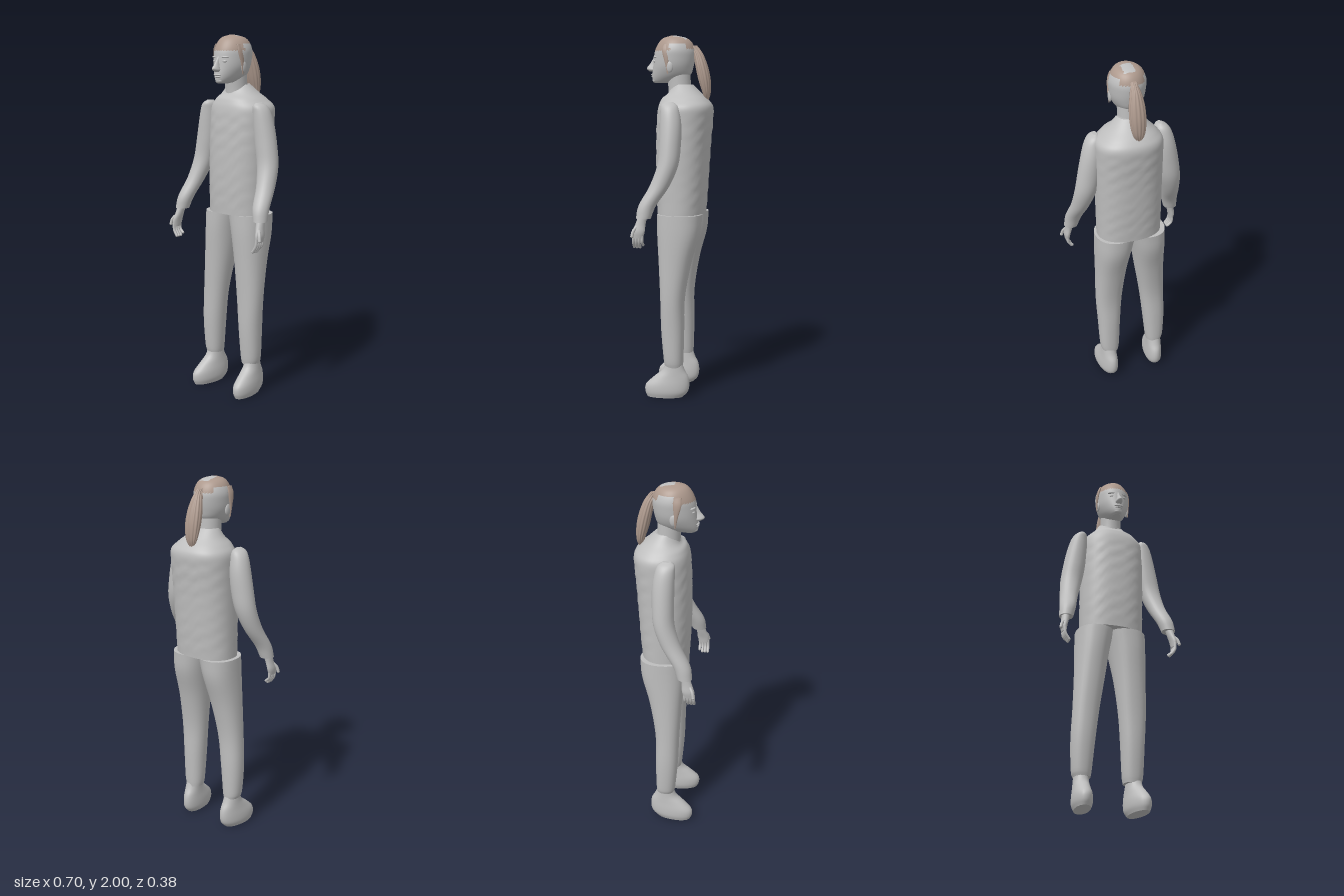
import * as THREE from 'three';

const grey = new THREE.MeshStandardMaterial({ color: 0xbebebe });
grey.name = 'grey';
const hair = new THREE.MeshStandardMaterial({ color: 0xad998d });
hair.name = 'hairBrown';

// Skin a stack of horizontal rings [y, xMin, xMax, zMin, zMax], listed upwards.
// options: power squares the outline, deform(v, angle) moves vertices,
// isHair(centre) sends a face to the second material.
function loft(name, rings, { sides = 28, steps = 4, power = 1, deform, isHair, material = grey } = {}) {
  const cx = new THREE.CatmullRomCurve3(rings.map((r) => new THREE.Vector3(r[0], r[1], r[2])), false, 'catmullrom');
  const cz = new THREE.CatmullRomCurve3(rings.map((r) => new THREE.Vector3(r[0], r[3], r[4])), false, 'catmullrom');
  const rows = (rings.length - 1) * steps;
  const pts = [], body = [], tinted = [];
  const bend = (c) => Math.sign(c) * Math.abs(c) ** power;
  for (let i = 0; i <= rows; i++) {
    const a = cx.getPoint(i / rows), b = cz.getPoint(i / rows);
    for (let j = 0; j < sides; j++) {
      const t = (j / sides) * Math.PI * 2;
      const v = new THREE.Vector3(
        (a.y + a.z) / 2 + ((a.z - a.y) / 2) * bend(Math.cos(t)), a.x,
        (b.y + b.z) / 2 + ((b.z - b.y) / 2) * bend(Math.sin(t)));
      if (deform) deform(v, t);
      pts.push(v);
    }
  }
  const face = (a, b, c) => {
    const mid = pts[a].clone().add(pts[b]).add(pts[c]).divideScalar(3);
    (isHair && isHair(mid) ? tinted : body).push(a, b, c);
  };
  for (let i = 0; i < rows; i++) {
    for (let j = 0; j < sides; j++) {
      const k = (j + 1) % sides, a = i * sides + j, b = i * sides + k;
      face(a, a + sides, b);
      face(b, a + sides, b + sides);
    }
  }
  // Flat end caps with their own vertices
  for (const [row, up] of [[0, false], [rows, true]]) {
    const start = pts.length, mid = new THREE.Vector3();
    for (let j = 0; j < sides; j++) {
      const p = pts[row * sides + j].clone();
      mid.addScaledVector(p, 1 / sides);
      pts.push(p);
    }
    pts.push(mid);
    for (let j = 0; j < sides; j++) {
      const a = start + j, b = start + ((j + 1) % sides);
      if (up) face(a, start + sides, b); else face(a, b, start + sides);
    }
  }
  const g = new THREE.BufferGeometry().setFromPoints(pts);
  g.setIndex([...body, ...tinted]);
  g.addGroup(0, body.length, 0);
  g.addGroup(body.length, tinted.length, 1);
  g.computeVertexNormals();
  const mesh = new THREE.Mesh(g, isHair ? [grey, hair] : material);
  mesh.name = name;
  return mesh;
}

// Rings given as [y, centreX, centreZ, radiusX, radiusZ], placed on one side
const onSide = (s, rings) => rings.map(([y, x, z, rx, rz]) => [y, s * x - rx, s * x + rx, z - rz, z + rz]);

function blob(name, x, y, z, sx, sy, sz) {
  const m = new THREE.Mesh(new THREE.SphereGeometry(1, 16, 12), grey);
  m.name = name;
  m.position.set(x, y, z);
  m.scale.set(sx, sy, sz);
  return m;
}

function finger(name, points, radius) {
  const curve = new THREE.CatmullRomCurve3(points.map((p) => new THREE.Vector3(...p)));
  const g = new THREE.Group();
  g.name = name;
  g.add(new THREE.Mesh(new THREE.TubeGeometry(curve, 8, radius, 8), grey));
  const end = points[points.length - 1];
  g.add(blob(name + 'Tip', ...end, radius, radius, radius));
  return g;
}

function makeHead() {
  const head = new THREE.Group();
  head.name = 'head';
  const isHair = ({ x, y, z }) => {
    const onPatch = Math.abs(x - 0.012) < 0.03 && z > -0.045 && z < 0.03;
    const line = z > 0.035 ? 1.915 : z > -0.05 ? 1.955 : 1.925;
    return y > line && !onPatch;
  };
  head.add(loft('skull', [
    [1.742, -0.02, 0.03, 0.07, 0.135], [1.755, -0.04, 0.05, -0.01, 0.15], [1.785, -0.065, 0.075, -0.06, 0.152],
    [1.83, -0.085, 0.095, -0.077, 0.147], [1.88, -0.092, 0.102, -0.086, 0.142], [1.92, -0.092, 0.102, -0.086, 0.135],
    [1.96, -0.077, 0.087, -0.07, 0.115], [1.985, -0.052, 0.062, -0.04, 0.09], [1.998, -0.01, 0.02, 0.015, 0.05],
  ], {
    sides: 40, steps: 5, isHair,
    // Narrow the face towards the front
    deform: (v) => { v.x = 0.005 + (v.x - 0.005) * (1 - Math.max(0, v.z - 0.03) * 0.9); },
  }));
  head.add(loft('neck', [
    [1.62, -0.065, 0.075, -0.075, 0.06], [1.7, -0.055, 0.065, -0.065, 0.06], [1.8, -0.055, 0.065, -0.06, 0.07],
  ]));
  head.add(loft('nose', [
    [1.805, -0.008, 0.02, 0.12, 0.165], [1.815, -0.014, 0.026, 0.12, 0.18], [1.826, -0.011, 0.023, 0.12, 0.184],
    [1.85, -0.005, 0.017, 0.12, 0.164], [1.885, -0.004, 0.016, 0.11, 0.143],
  ], { sides: 14 }));
  head.add(blob('upperLip', 0.006, 1.789, 0.147, 0.026, 0.006, 0.012));
  head.add(blob('lowerLip', 0.006, 1.778, 0.146, 0.022, 0.006, 0.011));
  head.add(blob('chin', 0.006, 1.757, 0.133, 0.024, 0.014, 0.018));
  for (const s of [-1, 1]) {
    head.add(blob('eye', 0.006 + s * 0.034, 1.86, 0.126, 0.015, 0.007, 0.013));
    const brow = blob('brow', 0.006 + s * 0.036, 1.882, 0.125, 0.024, 0.006, 0.014);
    brow.rotation.y = s * 0.3;
    head.add(brow);
    head.add(blob('ear', 0.004 + s * 0.09, 1.83, 0.035, 0.01, 0.032, 0.02));
    // Loose strand in front of the ear
    head.add(loft('sideLock', onSide(s, [
      [1.79, 0.096, 0.045, 0.002, 0.003], [1.85, 0.097, 0.05, 0.005, 0.01],
      [1.91, 0.092, 0.055, 0.007, 0.022], [1.95, 0.08, 0.055, 0.006, 0.02],
    ]), { sides: 10, material: hair }));
  }
  // Ponytail with ridged strands
  head.add(loft('ponytail', [
    [1.645, -0.006, 0.012, -0.158, -0.145], [1.69, -0.028, 0.036, -0.172, -0.132], [1.76, -0.038, 0.048, -0.172, -0.108],
    [1.83, -0.036, 0.046, -0.157, -0.092], [1.89, -0.024, 0.034, -0.134, -0.08], [1.925, -0.012, 0.024, -0.112, -0.065],
    [1.945, -0.01, 0.02, -0.095, -0.05],
  ], {
    sides: 48, material: hair,
    deform: (v, t) => {
      const k = 0.0025 * Math.cos(t * 12);
      v.x += k * Math.cos(t);
      v.z += k * Math.sin(t);
    },
  }));
  return head;
}

function makeArm(s) {
  const arm = new THREE.Group();
  arm.name = s > 0 ? 'leftArm' : 'rightArm';
  const sleeve = loft('sleeve', onSide(s, [
    [1.03, 0.29, 0.13, 0.038, 0.04], [1.1, 0.277, 0.11, 0.045, 0.047], [1.2, 0.255, 0.05, 0.05, 0.053],
    [1.31, 0.233, 0.01, 0.06, 0.056], [1.42, 0.213, 0.002, 0.063, 0.058], [1.52, 0.198, 0.002, 0.058, 0.058],
    [1.59, 0.188, 0.008, 0.048, 0.052], [1.625, 0.18, 0.014, 0.034, 0.044], [1.642, 0.174, 0.017, 0.012, 0.022],
  ]));
  arm.add(sleeve);
  arm.add(loft('palm', onSide(s, [
    [0.925, 0.308, 0.157, 0.012, 0.028], [0.96, 0.308, 0.152, 0.017, 0.034],
    [1.0, 0.3, 0.143, 0.02, 0.028], [1.05, 0.292, 0.13, 0.024, 0.024],
  ]), { sides: 16 }));
  for (let i = 0; i < 4; i++) {
    const z = 0.132 + i * 0.016, drop = i === 0 ? 0.012 : 0;
    arm.add(finger('finger', [[s * 0.309, 0.945, z], [s * 0.305, 0.905, z + 0.002], [s * 0.285, 0.874 + drop, z + 0.002]], 0.008));
  }
  arm.add(finger('thumb', [[s * 0.308, 0.99, 0.16], [s * 0.325, 0.965, 0.176], [s * 0.332, 0.938, 0.182]], 0.009));
  // Shoulders sit slightly off centre
  arm.position.x = s > 0 ? 0.012 : -0.003;
  return arm;
}

function makeLeg(s) {
  const leg = new THREE.Group();
  leg.name = s > 0 ? 'leftLeg' : 'rightLeg';
  const rings = s > 0
    ? [[0.17, 0.075, 0.172, -0.045, 0.055], [0.22, 0.068, 0.182, -0.048, 0.062], [0.38, 0.06, 0.19, -0.052, 0.075],
      [0.56, 0.048, 0.2, -0.055, 0.08], [0.76, 0.028, 0.203, -0.09, 0.09], [0.92, 0.004, 0.207, -0.135, 0.1],
      [1.03, -0.02, 0.207, -0.146, 0.102]]
    : [[0.18, -0.202, -0.11, -0.045, 0.055], [0.22, -0.212, -0.104, -0.048, 0.062], [0.38, -0.218, -0.088, -0.052, 0.075],
      [0.56, -0.21, -0.066, -0.055, 0.08], [0.76, -0.2, -0.032, -0.09, 0.09], [0.92, -0.193, -0.004, -0.135, 0.1],
      [1.03, -0.19, 0.02, -0.146, 0.102]];
  leg.add(loft('trouserLeg', rings, { power: 0.9 }));
  const foot = loft('foot', onSide(1, [
    [0, 0, 0.053, 0.042, 0.1], [0.03, 0, 0.045, 0.052, 0.12], [0.07, 0, 0.038, 0.052, 0.122],
    [0.115, 0, 0.018, 0.046, 0.096], [0.155, 0, 0.005, 0.042, 0.062], [0.21, 0, 0.004, 0.038, 0.042],
  ]), { power: 0.95 });
  foot.position.x = s > 0 ? 0.132 : -0.158;
  foot.rotation.y = s * 0.12;
  leg.add(foot);
  return leg;
}

export function createModel() {
  const model = new THREE.Group();
  model.name = 'standingFigure';
  // Shirt with soft creases and a collar dipping at the front
  model.add(loft('torso', [
    [1.03, -0.167, 0.192, -0.147, 0.113], [1.2, -0.167, 0.195, -0.16, 0.12], [1.4, -0.166, 0.2, -0.173, 0.12],
    [1.54, -0.165, 0.203, -0.185, 0.115], [1.61, -0.16, 0.2, -0.187, 0.108], [1.65, -0.132, 0.165, -0.163, 0.095],
    [1.69, -0.092, 0.118, -0.12, 0.076], [1.735, -0.06, 0.074, -0.074, 0.055],
  ], {
    sides: 48, steps: 6, power: 0.88,
    deform: (v, t) => {
      const fade = THREE.MathUtils.smoothstep(v.y, 1.03, 1.1) * (1 - THREE.MathUtils.smoothstep(v.y, 1.5, 1.62));
      v.z += 0.003 * fade * Math.sin(v.y * 75 + Math.sin(v.x * 40)) * Math.sin(v.x * 55) * Math.sign(Math.sin(t));
      v.y -= 0.04 * THREE.MathUtils.smoothstep(v.y, 1.65, 1.735) * Math.max(0, Math.sin(t));
    },
  }));
  model.add(makeHead());
  for (const s of [-1, 1]) model.add(makeArm(s), makeLeg(s));
  return model;
}
